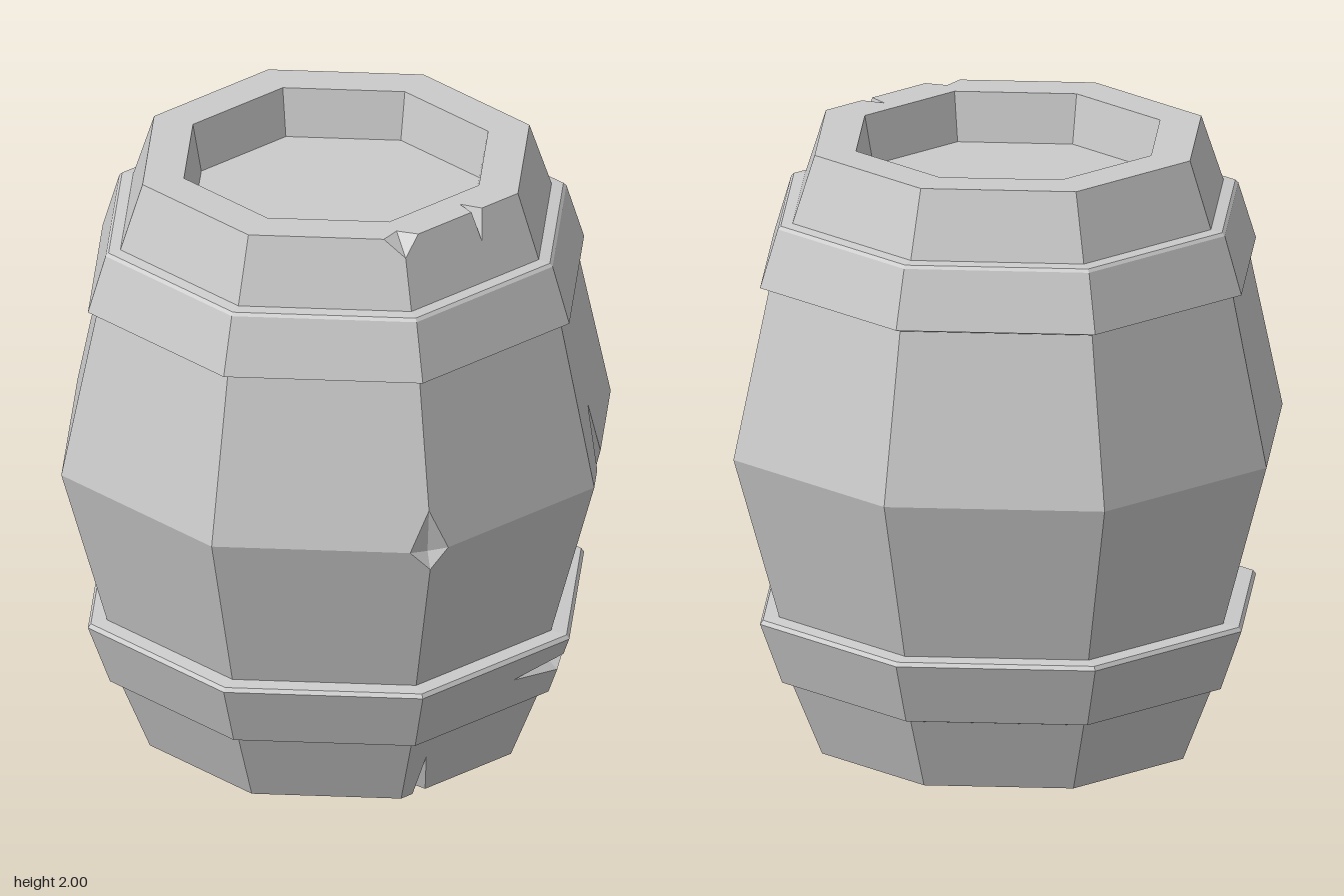
import * as THREE from 'three';
import { ConvexGeometry } from 'three/addons/geometries/ConvexGeometry.js';

const V = (x, y, z) => new THREE.Vector3(x, y, z);
const EPS = 1e-5;

// Corner i of the eight-sided ring with radius r at height y
function corner(r, y, i) {
  const a = (i * Math.PI) / 4;
  const k = i % 2 ? r * 0.985 : r;
  return V(Math.sin(a) * k, y, Math.cos(a) * k);
}

// Flat polygons swept around the axis from a profile of [radius, height]
function ringPolygons(profile) {
  const polys = [];
  for (let p = 0; p < profile.length - 1; p++) {
    const [r0, y0] = profile[p], [r1, y1] = profile[p + 1];
    for (let i = 0; i < 8; i++) {
      const quad = [corner(r0, y0, i), corner(r0, y0, i + 1), corner(r1, y1, i + 1), corner(r1, y1, i)];
      if (r0 === 0) quad.splice(1, 1);
      if (r1 === 0) quad.splice(2, 1);
      polys.push(quad);
    }
  }
  return polys;
}

const planeOf = (p) => new THREE.Plane().setFromCoplanarPoints(p[0], p[1], p[2]);

// Split a convex polygon into the pieces in front of and behind a plane
function split(poly, plane) {
  const front = [], back = [];
  const d = poly.map((p) => plane.distanceToPoint(p));
  if (d.every((v) => v < EPS)) return [[], poly];
  if (d.every((v) => v > -EPS)) return [poly, []];
  poly.forEach((p, i) => {
    const j = (i + 1) % poly.length;
    if (d[i] > -EPS) front.push(p);
    if (d[i] < EPS) back.push(p);
    if ((d[i] > EPS && d[j] < -EPS) || (d[i] < -EPS && d[j] > EPS)) {
      const m = p.clone().lerp(poly[j], d[i] / (d[i] - d[j]));
      front.push(m);
      back.push(m);
    }
  });
  return [front, back];
}

// Carve the convex hull of some points out of a locally convex surface
function carve(polys, points) {
  const pos = new ConvexGeometry(points.map((p) => V(...p))).attributes.position;
  const tris = [];
  for (let i = 0; i < pos.count; i += 3) {
    tris.push([0, 1, 2].map((k) => new THREE.Vector3().fromBufferAttribute(pos, i + k)));
  }
  const planes = tris.map(planeOf);
  const result = [], touched = [];
  for (const poly of polys) {
    let rest = poly;
    const kept = [];
    for (const plane of planes) {
      const [out, inside] = split(rest, plane);
      if (out.length > 2) kept.push(out);
      rest = inside;
      if (rest.length < 3) break;
    }
    if (rest.length < 3) {
      result.push(poly);
    } else {
      result.push(...kept);
      touched.push(planeOf(poly));
    }
  }
  // Walls of the cut
  for (let tri of tris) {
    for (const plane of touched) {
      if (tri.length > 2) tri = split(tri, plane)[1];
    }
    if (touched.length && tri.length > 2) result.push([...tri].reverse());
  }
  return result;
}

function toGeometry(polys) {
  const pts = [];
  for (const p of polys) {
    for (let i = 1; i < p.length - 1; i++) pts.push(p[0], p[i], p[i + 1]);
  }
  const geo = new THREE.BufferGeometry().setFromPoints(pts);
  geo.computeVertexNormals();
  return geo;
}

// Profiles run upward so that faces point outward; cuts are small chips and gashes
const PARTS = [
  {
    name: 'bottomStaves',
    profile: [[0, 0.16], [0.46, 0.16], [0.49, 0], [0.63, 0], [0.73, 0.24]],
    cuts: [
      [[0.075, 0.17, 0.675], [0.035, -0.02, 0.62], [0.105, -0.02, 0.59], [0.07, -0.02, 0.53], [0.1, 0, 0.9]],
    ],
  },
  {
    name: 'lowerHoop',
    profile: [[0.73, 0.24], [0.765, 0.25], [0.84, 0.452], [0.83, 0.465], [0.775, 0.47]],
    cuts: [
      [[0.37, 0.367, 0.65], [0.64, 0.42, 0.46], [0.575, 0.395, 0.575], [0.56, 0.33, 0.56],
        [0.525, 0.372, 0.525], [0.8, 0.37, 0.8]],
    ],
  },
  {
    name: 'middleStaves',
    profile: [[0.775, 0.47], [0.93, 1.01], [0.81, 1.565]],
    cuts: [
      [[0, 1.15, 0.9], [0, 0.945, 0.912], [0.065, 1.01, 0.902], [-0.065, 1.01, 0.902],
        [0, 1.0, 0.885], [0, 1.02, 1.2]],
      [[0.702, 1.2, 0.43], [0.66, 0.7, 0.42], [0.697, 1.01, 0.53], [0.755, 1.01, 0.4],
        [0.69, 1.02, 0.45], [1.1, 1.0, 0.62]],
    ],
  },
  {
    name: 'upperHoop',
    profile: [[0.81, 1.565], [0.84, 1.575], [0.78, 1.765], [0.77, 1.775], [0.73, 1.78]],
    cuts: [],
  },
  {
    name: 'topStaves',
    profile: [[0.73, 1.78], [0.655, 2], [0.515, 2], [0.485, 1.84], [0, 1.84]],
    cuts: [
      [[0, 1.94, 0.68], [0.08, 2.01, 0.63], [-0.08, 2.01, 0.63], [0, 2.01, 0.57], [0, 2.1, 0.9]],
      [[0.3, 1.9, 0.56], [0.27, 2.01, 0.545], [0.32, 2.01, 0.52], [0.25, 2.01, 0.46], [0.45, 2.1, 0.9]],
    ],
  },
];

export function createModel() {
  const group = new THREE.Group();
  group.name = 'barrel';
  const material = new THREE.MeshStandardMaterial({ color: 0xcccccc, flatShading: true });
  for (const { name, profile, cuts } of PARTS) {
    const polys = cuts.reduce(carve, ringPolygons(profile));
    const mesh = new THREE.Mesh(toGeometry(polys), material);
    mesh.name = name;
    group.add(mesh);
  }
  return group;
}
